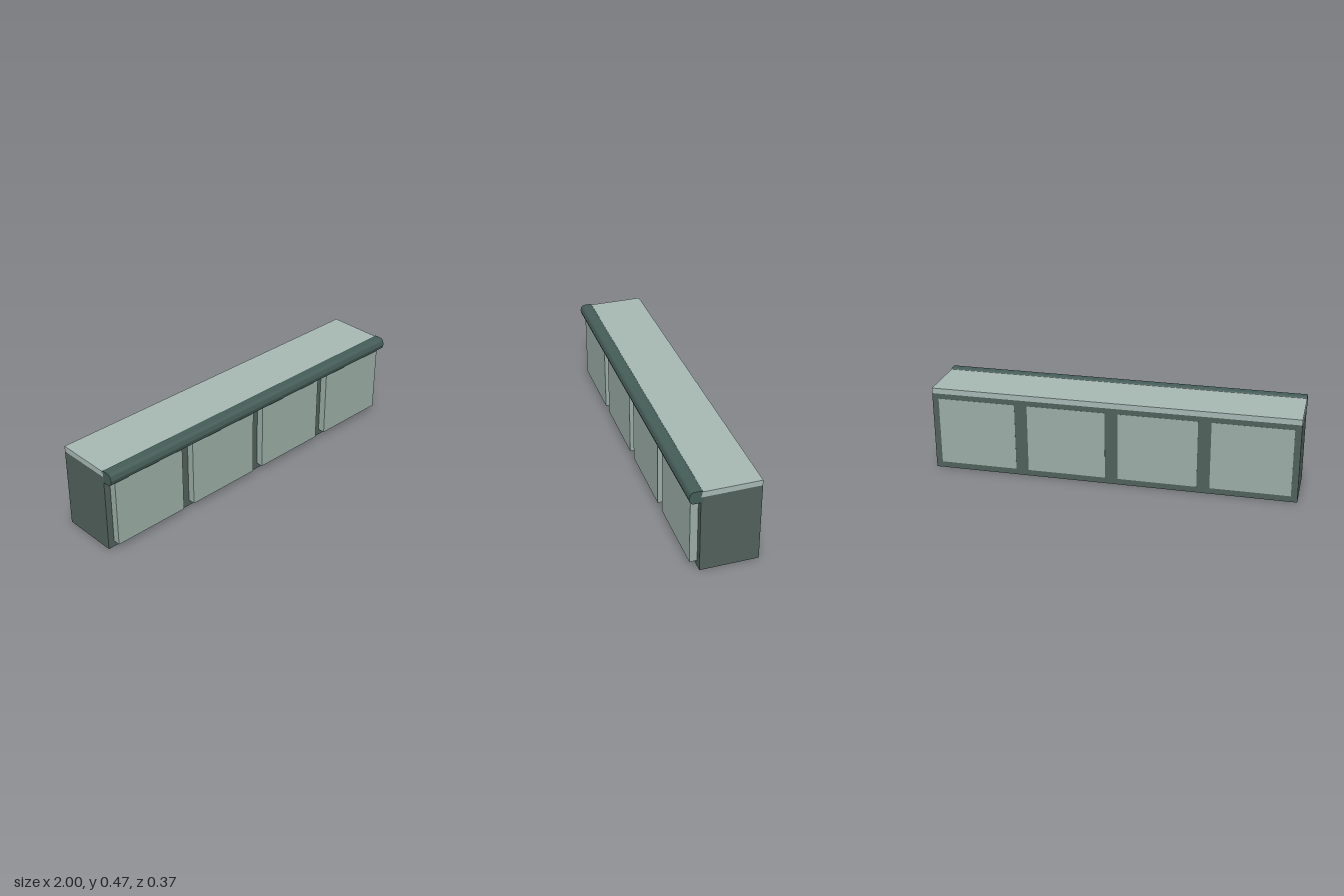
import * as THREE from 'three';

const mat = (color) => new THREE.MeshStandardMaterial({ color });

// Box given by its min and max corners
function block(name, material, [x0, y0, z0], [x1, y1, z1]) {
  const mesh = new THREE.Mesh(new THREE.BoxGeometry(x1 - x0, y1 - y0, z1 - z0), material);
  mesh.position.set((x0 + x1) / 2, (y0 + y1) / 2, (z0 + z1) / 2);
  mesh.name = name;
  return mesh;
}

export function createModel() {
  const model = new THREE.Group();
  model.name = 'counter';
  const carcassMat = mat(0x50605a);
  const panelMat = mat(0x9aaca5);
  const topMat = mat(0xa6b8b3);
  const railMat = mat(0x445c57);

  // Four equal cabinet units, each with a raised panel block running through to the back
  const back = -0.185, width = 0.5, margin = 0.035;
  for (let i = 0; i < 4; i++) {
    const x = -1 + i * width;
    const unit = new THREE.Group();
    unit.name = `cabinetUnit${i + 1}`;
    unit.add(
      block('carcass', carcassMat, [x, 0, back], [x + width, 0.439, 0.125]),
      block('panel', panelMat, [x + margin, 0.033, back - 0.0008], [x + width - margin, 0.41, 0.165])
    );
    model.add(unit);
  }

  // Counter top slab
  model.add(block('counterTop', topMat, [-1, 0.438, back], [1, 0.469, 0.122]));

  // Rounded front rail: profile drawn in (z, y), extruded along the length
  const profile = new THREE.Shape();
  profile.moveTo(0.113, 0.407);
  profile.lineTo(0.158, 0.407);
  profile.quadraticCurveTo(0.173, 0.408, 0.179, 0.42);
  profile.lineTo(0.185, 0.441);
  profile.lineTo(0.179, 0.462);
  profile.quadraticCurveTo(0.173, 0.474, 0.158, 0.475);
  profile.lineTo(0.129, 0.475);
  profile.quadraticCurveTo(0.117, 0.474, 0.113, 0.466);
  profile.closePath();
  const railGeometry = new THREE.ExtrudeGeometry(profile, { depth: 2, bevelEnabled: false, curveSegments: 6 });
  railGeometry.rotateY(-Math.PI / 2).translate(1, 0, 0);
  const rail = new THREE.Mesh(railGeometry, railMat);
  rail.name = 'frontRail';
  model.add(rail);

  return model;
}
